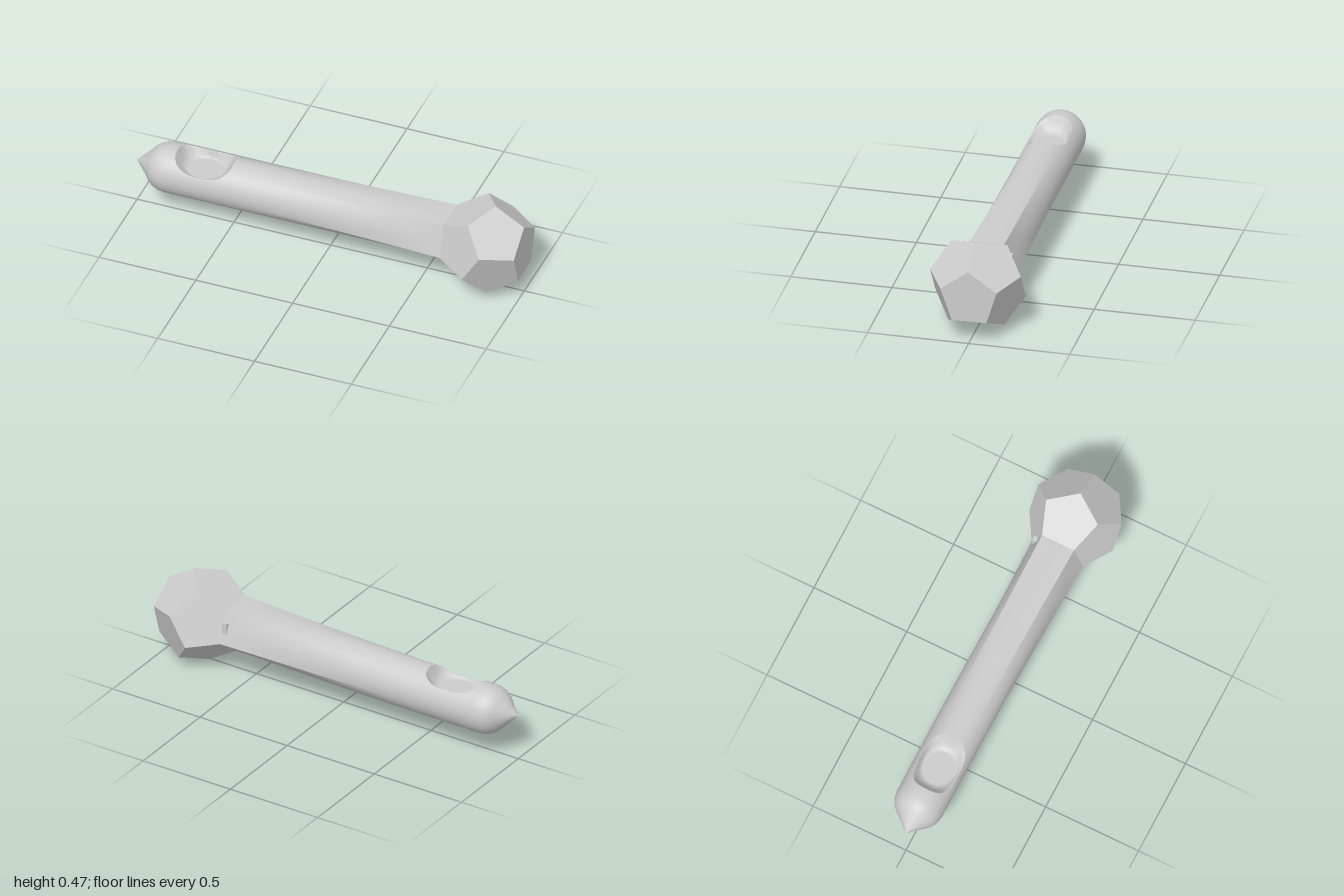
import * as THREE from 'three';
import { toCreasedNormals } from 'three/addons/utils/BufferGeometryUtils.js';

const grey = () => new THREE.MeshStandardMaterial({ color: 0xcccccc });
const { lerp, clamp } = THREE.MathUtils;

const EDGE = 0.1715;              // dodecahedron edge length
const IN = EDGE * 1.1135;         // distance from its centre to a face
const APOTHEM = EDGE * 0.6882;    // apothem of one face
const HEAD_X = 1 - IN, HEAD_Y = 0.236, TWIST = 0.02;
const END_X = HEAD_X - IN;        // where the handle meets the head
const SEGS = 200;                 // multiple of 5, so pentagon corners fall on vertices

// nose outline: x, radius
const nose = [[-1, 0.0005], [-0.955, 0.046], [-0.915, 0.09], [-0.9, 0.103],
  [-0.885, 0.112], [-0.865, 0.12], [-0.84, 0.124], [-0.82, 0.125]];

// stations along the handle: nose, dense thumb rest, then the taper
function stations() {
  const list = nose.map(([x, r]) => ({ x, r }));
  for (let i = 0; i <= 80; i++) list.push({ x: -0.8 + i * 0.004, r: 0.125 });
  for (let i = 0; i <= 24; i++) list.push({ x: lerp(-0.44, END_X, i / 24), r: 0.125 });
  return list;
}

// flat round floor that sweeps up to a rounded-oblong rim
function thumbRest(x, y, z) {
  const u = Math.abs(x + 0.645), v = Math.abs(z);
  const q = Math.cbrt((u / 0.145) ** 3 + (v / 0.1) ** 3);
  if (y < HEAD_Y || q >= 1) return y;
  const s = Math.hypot(u, v);
  const t = s <= 0.083 ? 0 : (s - 0.083) / (s / q - 0.083);
  return Math.min(y, lerp(0.28, y, t * t));
}

// round section that turns into a pentagon at the head
function handleGeometry() {
  const pos = [], index = [], rings = stations(), row = SEGS + 1;
  rings.forEach(({ x, r }, i) => {
    const w = clamp((x + 0.44) / (END_X + 0.44), 0, 1) ** 1.4;
    const n = clamp((x + 1) / 0.15, 0, 1);
    const cy = lerp(lerp(0.238, 0.232, n), HEAD_Y, w);
    const cz = lerp(lerp(0, -0.011, n), 0, w);
    for (let j = 0; j <= SEGS; j++) {
      const a = (j % SEGS) / SEGS * Math.PI * 2;
      const side = (a % (Math.PI * 0.4)) - Math.PI / 5;
      const rad = lerp(r, APOTHEM / Math.cos(side), w);
      const z = cz + rad * Math.sin(a - TWIST);
      pos.push(x, thumbRest(x, cy - rad * Math.cos(a - TWIST), z), z);
      if (i < rings.length - 1 && j < SEGS) {
        const p = i * row + j;
        index.push(p, p + row, p + 1, p + 1, p + row, p + row + 1);
      }
    }
  });
  const g = new THREE.BufferGeometry();
  g.setAttribute('position', new THREE.Float32BufferAttribute(pos, 3));
  g.setIndex(index);
  return toCreasedNormals(g, 0.4);
}

export function createModel() {
  const model = new THREE.Group();
  const add = (name, geometry) => {
    const m = new THREE.Mesh(geometry, grey());
    m.name = name;
    model.add(m);
    return m;
  };

  add('handle', handleGeometry());

  // head: dodecahedron with one face square to the handle axis, corner up
  const head = new THREE.DodecahedronGeometry(EDGE * 1.4013);
  head.rotateY(Math.atan((1 + Math.sqrt(5)) / 2));
  head.rotateX(Math.PI / 2 + TWIST);
  add('head', head).position.set(HEAD_X, HEAD_Y, 0);

  // small catch on the back, beside the head
  add('catch', new THREE.BoxGeometry(0.025, 0.055, 0.025)).position.set(0.605, 0.274, -0.112);

  return model;
}
